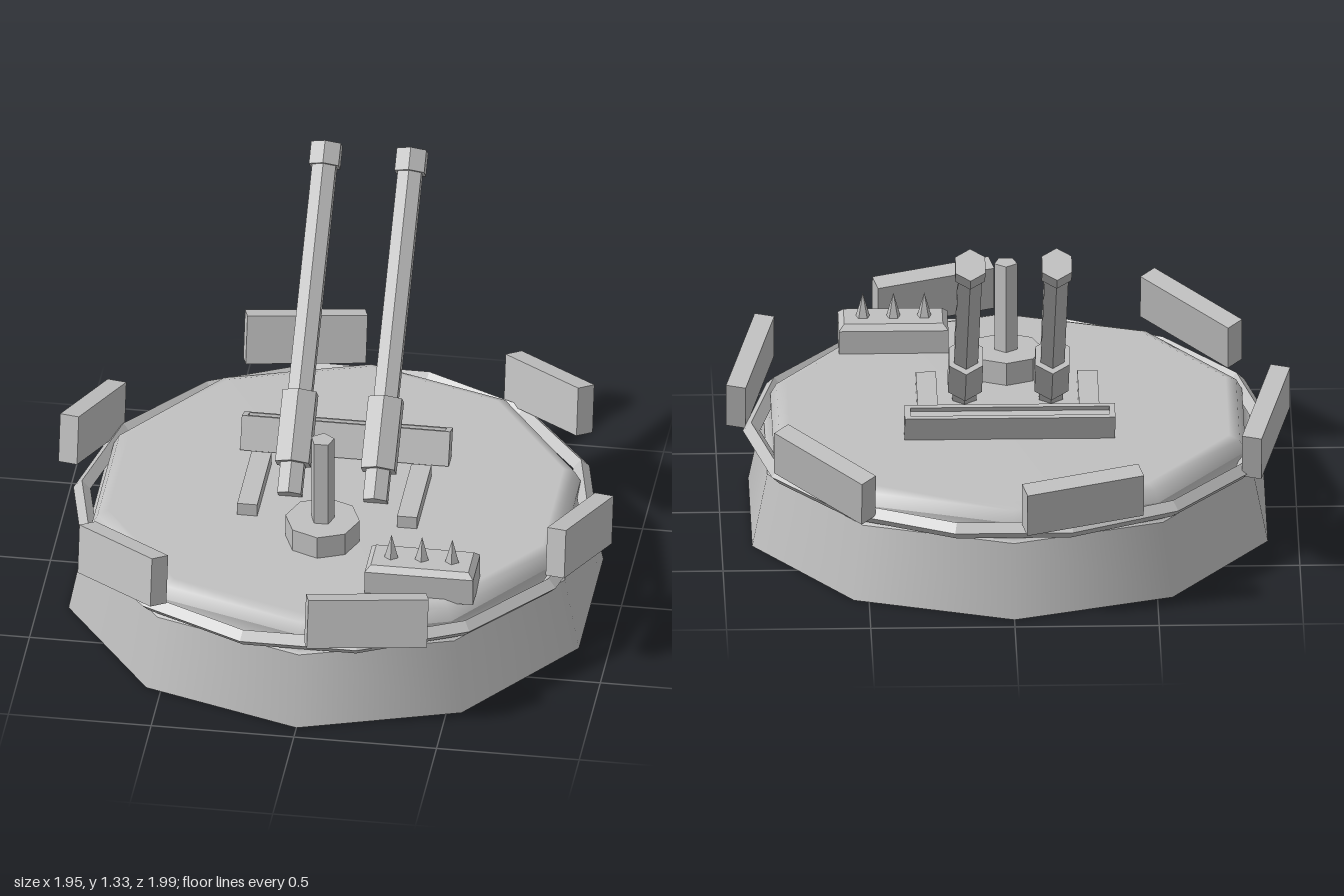
import * as THREE from 'three';

const smooth = new THREE.MeshStandardMaterial({ color: 0xc0c0c0 });
smooth.name = 'pale grey metal';
// Same colour, faceted for the low-poly fittings
const facet = smooth.clone();
facet.flatShading = true;

export function createModel() {
  const root = new THREE.Group();
  root.name = 'turret';

  const add = (name, geo, x = 0, y = 0, z = 0, parent = root, mat = facet) => {
    const m = new THREE.Mesh(geo, mat);
    m.name = name;
    m.position.set(x, y, z);
    parent.add(m);
    return m;
  };
  const box = (w, h, d) => new THREE.BoxGeometry(w, h, d);
  const prism = (r, h, n) => new THREE.CylinderGeometry(r, r, h, n);
  const lathe = (name, pts) => add(name,
    new THREE.LatheGeometry(pts.map(p => new THREE.Vector2(...p)), 10), 0, 0, 0, root, smooth);

  // Ten-sided body, split where edges stay sharp
  lathe('baseUnderside', [[0, 0], [0.94, 0]]);
  lathe('baseWall', [[0.94, 0], [0.885, 0.265]]);
  lathe('baseShoulder', [[0.885, 0.265], [0.86, 0.28], [0.86, 0.33]]);
  lathe('deck', [[0.86, 0.33], [0.838, 0.37], [0.8, 0.385], [0, 0.387]]);

  // Fourteen-sided rail around the body
  const ring = new THREE.TorusGeometry(0.89, 0.03, 4, 14);
  ring.rotateX(Math.PI / 2);
  add('rail', ring, 0, 0.309, 0);

  // Six armour plates, all tipped about the sideways axis
  for (let i = 0; i < 6; i++) {
    const a = Math.PI / 12 + i * Math.PI / 3;
    const x = Math.cos(a) * 0.92, z = Math.sin(a) * 0.92;
    add('armourPlate', box(0.42, 0.175, 0.07), x, 0.43, z)
      .rotation.set(-0.24, Math.atan2(x, z), 0);
  }

  // Twin guns raised 45 degrees, local y runs along the barrel
  for (const s of [-1, 1]) {
    const gun = new THREE.Group();
    gun.name = s > 0 ? 'leftGun' : 'rightGun';
    gun.position.set(s * 0.15, 0.402, 0.083);
    gun.rotation.x = -Math.PI / 4;
    root.add(gun);
    add('barrel', prism(0.048, 1.2, 6), 0, 0.6, 0, gun);
    add('sleeve', prism(0.068, 0.255, 6), 0, 0.237, 0, gun);
    add('muzzle', prism(0.06, 0.08, 6), 0, 1.21, 0, gun);
    add('sideRail', box(0.07, 0.06, 0.34), s * 0.28, 0.402, 0.04);
  }

  // Leaning rear bar with a shallow recess along its top
  const bar = new THREE.Group();
  bar.name = 'rearBar';
  bar.position.set(0, 0.437, -0.249);
  bar.rotation.x = -0.36;
  root.add(bar);
  add('barBody', box(0.73, 0.105, 0.07), 0, -0.01, 0, bar);
  const rect = (T, w, h) => new T([[-w, -h], [w, -h], [w, h], [-w, h]].map(p => new THREE.Vector2(...p)));
  const rimShape = rect(THREE.Shape, 0.365, 0.035);
  rimShape.holes.push(rect(THREE.Path, 0.345, 0.02));
  const rim = new THREE.ExtrudeGeometry(rimShape, { depth: 0.018, bevelEnabled: false });
  rim.rotateX(-Math.PI / 2);
  add('barRim', rim, 0, 0.0425, 0, bar);

  // Mast on an eight-sided foot
  add('mastFoot', prism(0.13, 0.1, 8), 0, 0.42, 0.318);
  add('mast', prism(0.042, 0.42, 5), 0, 0.585, 0.322).rotation.y = Math.PI;

  // Equipment box with a chamfered lid and three spikes
  add('equipmentBox', box(0.38, 0.1, 0.17), 0.385, 0.42, 0.557);
  const lid = box(0.38, 0.02, 0.17);
  const p = lid.attributes.position;
  for (let i = 0; i < p.count; i++) {
    if (p.getY(i) > 0) p.setXYZ(i, p.getX(i) * 0.9, p.getY(i), p.getZ(i) * 0.77);
  }
  add('boxLid', lid, 0.385, 0.48, 0.557);
  for (const x of [0.277, 0.384, 0.49]) {
    add('spike', new THREE.ConeGeometry(0.026, 0.09, 5), x, 0.533, 0.557);
  }

  return root;
}
